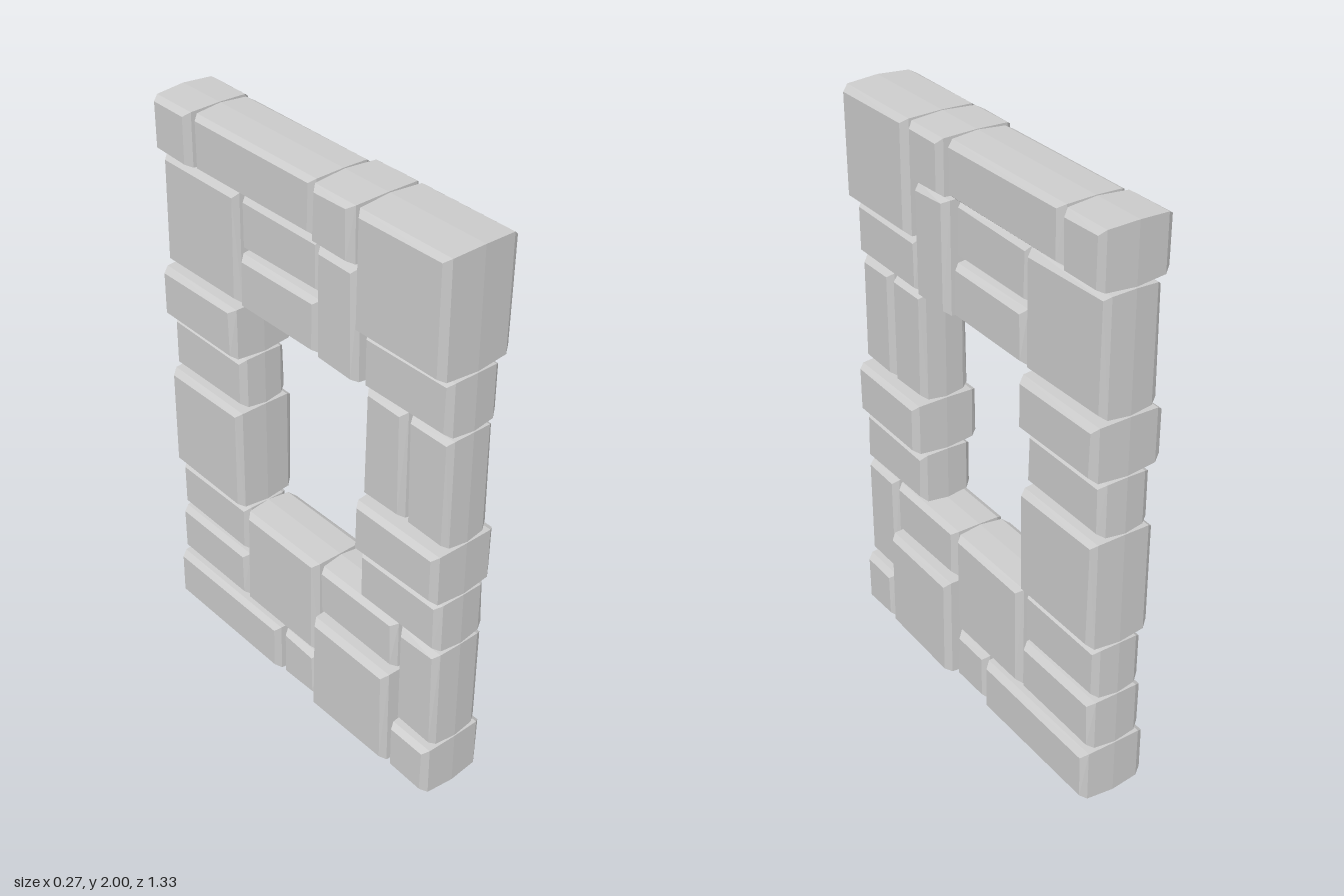
import * as THREE from 'three';
import { ConvexGeometry } from 'three/addons/geometries/ConvexGeometry.js';

// Each block: [z min, z max, y min, y max, half thickness]
const BLOCKS = {
  topCourse: [
    [0.29, 0.665, 1.605, 2, 0.135], [0.1, 0.285, 1.805, 2, 0.135],
    [-0.475, 0.095, 1.805, 2, 0.115], [-0.665, -0.48, 1.805, 2, 0.125],
  ],
  lintel: [
    [0.1, 0.285, 1.405, 1.8, 0.115], [-0.285, 0.095, 1.605, 1.8, 0.085],
    [-0.285, 0.095, 1.405, 1.6, 0.1], [-0.665, -0.285, 1.405, 1.8, 0.1],
  ],
  frontPillar: [
    [0.295, 0.665, 1.405, 1.6, 0.1], [0.48, 0.665, 1.005, 1.4, 0.09],
    [0.29, 0.475, 1.005, 1.4, 0.09], [0.29, 0.665, 0.805, 1, 0.125],
    [0.29, 0.665, 0.605, 0.8, 0.1],
  ],
  backPillar: [
    [-0.665, -0.285, 1.205, 1.4, 0.125], [-0.665, -0.285, 1.005, 1.2, 0.09],
    [-0.665, -0.285, 0.605, 1, 0.115],
  ],
  sill: [
    [0.48, 0.665, 0.205, 0.6, 0.1], [0.1, 0.475, 0.405, 0.6, 0.1],
    [0.1, 0.475, 0.005, 0.4, 0.135], [-0.285, 0.095, 0.205, 0.6, 0.105],
    [-0.665, -0.285, 0.405, 0.6, 0.09], [-0.665, -0.285, 0.205, 0.4, 0.1],
  ],
  bottomCourse: [
    [0.48, 0.665, 0, 0.2, 0.125], [-0.09, 0.095, 0, 0.2, 0.105],
    [-0.665, -0.095, 0, 0.2, 0.12],
  ],
};

// Small repeatable random generator for hand-cut irregularity
function makeRandom(seed) {
  return () => (seed = (seed * 16807) % 2147483647) / 2147483647;
}

// Stone with slightly bulging sides and chamfered, uneven face edges
function stoneGeometry(hx, hy, hz, random) {
  const points = [];
  for (const sy of [-1, 1]) for (const sz of [-1, 1]) {
    points.push(new THREE.Vector3(0, sy * hy, sz * hz));
    for (const sx of [-1, 1]) {
      const cut = () => 0.017 + random() * 0.009;
      points.push(new THREE.Vector3(sx * (hx - 0.022), sy * (hy - 0.006), sz * (hz - 0.006)));
      points.push(new THREE.Vector3(sx * hx, sy * (hy - cut()), sz * (hz - cut())));
    }
  }
  return new ConvexGeometry(points);
}

export function createModel() {
  const model = new THREE.Group();
  model.name = 'stoneWallWithOpening';
  const material = new THREE.MeshStandardMaterial({ color: 0xcccccc, flatShading: true });
  const random = makeRandom(17);

  for (const [name, blocks] of Object.entries(BLOCKS)) {
    const section = new THREE.Group();
    section.name = name;
    blocks.forEach(([z0, z1, y0, y1, hx], i) => {
      const stone = new THREE.Mesh(stoneGeometry(hx, (y1 - y0) / 2, (z1 - z0) / 2, random), material);
      stone.name = `${name}Stone${i + 1}`;
      stone.position.set(0, (y0 + y1) / 2, (z0 + z1) / 2);
      section.add(stone);
    });
    model.add(section);
  }
  return model;
}
